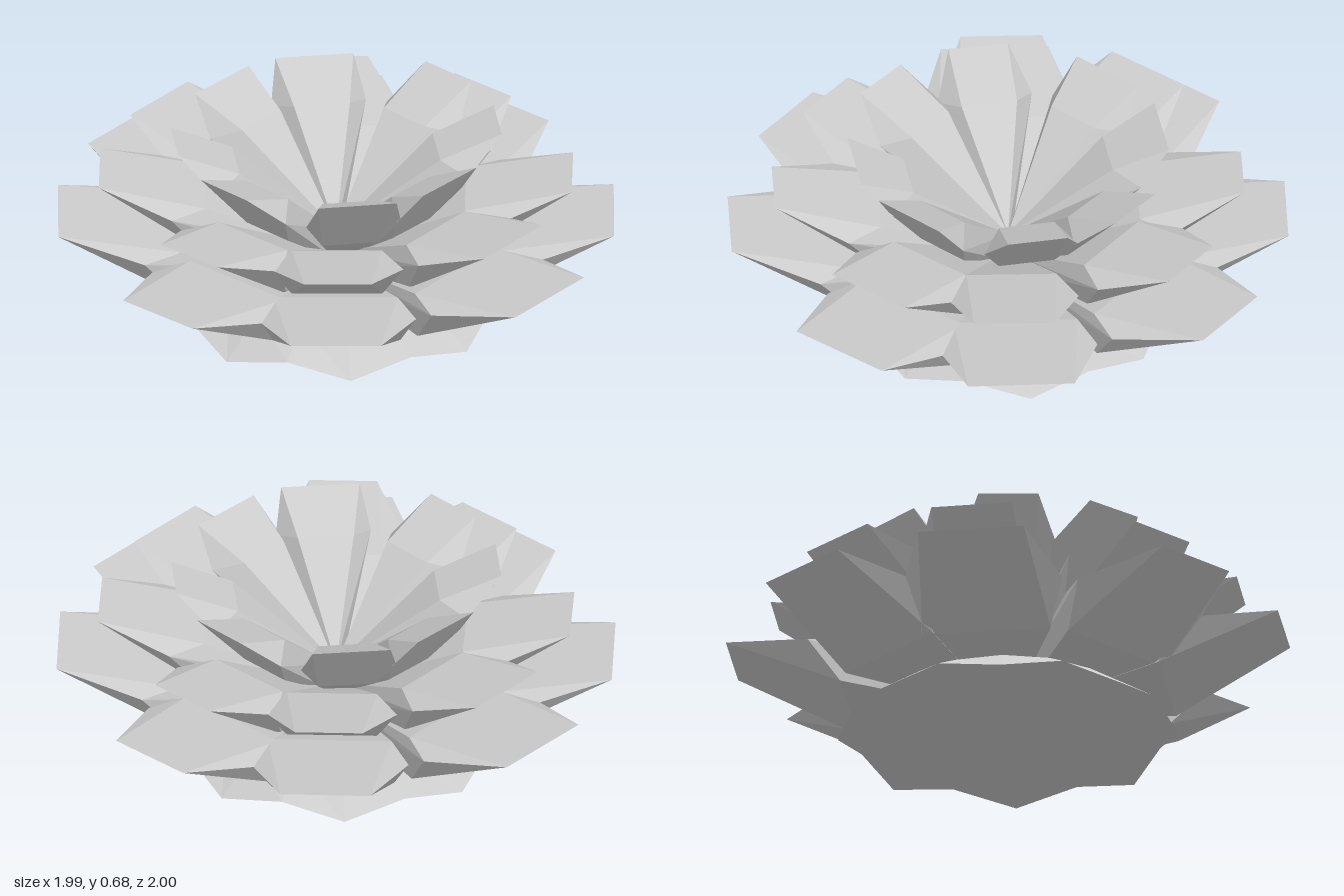
import * as THREE from 'three';

const material = new THREE.MeshStandardMaterial({ color: 0xcccccc, flatShading: true, side: THREE.DoubleSide });

function facetMesh(name, points, faces) {
  const geometry = new THREE.BufferGeometry();
  geometry.setAttribute('position', new THREE.Float32BufferAttribute(points.flat(), 3));
  geometry.setIndex(faces.flat());
  const flat = geometry.toNonIndexed();
  flat.computeVertexNormals();
  const mesh = new THREE.Mesh(flat, material);
  mesh.name = name;
  return mesh;
}

// Faces of one petal; the -x side is mirrored to +x.
const middleFaces = [
  [0, 2, 1], [1, 2, 9], [1, 9, 8], // underside
  [3, 4, 5], [4, 8, 9], [4, 9, 5], // upper side
];
const sideFaces = [[0, 1, 6], [1, 8, 6], [4, 6, 8], [3, 6, 4], [0, 6, 3]];
const mirrorIndex = { 0: 0, 1: 2, 3: 3, 4: 5, 6: 7, 8: 9 };
const petalFaces = [
  ...middleFaces,
  ...sideFaces,
  ...sideFaces.map(([a, b, c]) => [mirrorIndex[a], mirrorIndex[c], mirrorIndex[b]]),
];

// Thick petal along +z, tapering to a straight tip edge.
// lowFold, highFold, shoulder and tip are [half width, height, distance from the centre].
function petal(name, { lowRoot, lowFold, highRoot, highFold, shoulder }, tip) {
  const pair = ([w, y, z]) => [[-w, y, z], [w, y, z]];
  const points = [
    [0, lowRoot, 0], ...pair(lowFold),
    [0, highRoot, 0], ...pair(highFold),
    ...pair(shoulder), ...pair(tip),
  ];
  return facetMesh(name, points, petalFaces);
}

// Ring of eight petals: four directions, each repeated on the opposite side.
// Each direction is [angle in degrees, tip half width, tip distance].
function petalRing(name, shape, tipHeight, directions) {
  const ring = new THREE.Group();
  ring.name = name + 'Ring';
  for (const [angle, width, reach] of directions) {
    for (const turn of [0, 180]) {
      const p = petal(name, shape, [width, tipHeight, reach]);
      p.rotation.y = THREE.MathUtils.degToRad(angle + turn);
      ring.add(p);
    }
  }
  return ring;
}

// Shallow faceted base: fan underneath, zigzag rim, sloping skirt on top.
function base() {
  const n = 16;
  const points = [[0, 0.04, 0], [0, 0.12, 0]];
  const faces = [];
  for (let i = 0; i < n; i++) {
    const a = (i / n) * Math.PI * 2;
    const low = i % 2 === 0;
    const r = low ? 0.605 : 0.575;
    points.push([r * Math.sin(a), low ? 0 : 0.045, r * Math.cos(a)]);
    points.push([0.43 * Math.sin(a), 0.12, 0.43 * Math.cos(a)]);
    const rim = 2 + 2 * i, top = rim + 1;
    const nextRim = 2 + 2 * ((i + 1) % n), nextTop = nextRim + 1;
    faces.push([0, nextRim, rim], [rim, nextRim, top], [nextRim, nextTop, top], [1, top, nextTop]);
  }
  const mesh = facetMesh('base', points, faces);
  mesh.rotation.y = THREE.MathUtils.degToRad(2.6);
  return mesh;
}

export function createModel() {
  const flower = new THREE.Group();
  flower.name = 'flower';
  flower.add(base());
  flower.add(petalRing('outerPetal', {
    lowRoot: 0.09, lowFold: [0.23, 0.15, 0.57],
    highRoot: 0.15, highFold: [0.22, 0.31, 0.55],
    shoulder: [0.285, 0.295, 0.68],
  }, 0.358, [[2.6, 0.19, 0.99], [42.7, 0.19, 0.987], [92.8, 0.16, 0.99], [132.5, 0.16, 0.99]]));
  flower.add(petalRing('middlePetal', {
    lowRoot: 0.13, lowFold: [0.16, 0.28, 0.47],
    highRoot: 0.2, highFold: [0.16, 0.45, 0.46],
    shoulder: [0.235, 0.44, 0.58],
  }, 0.522, [[2.6, 0.16, 0.82], [41.5, 0.145, 0.84], [92.7, 0.13, 0.815], [133, 0.12, 0.835]]));
  flower.add(petalRing('innerPetal', {
    lowRoot: 0.16, lowFold: [0.1, 0.42, 0.36],
    highRoot: 0.28, highFold: [0.1, 0.59, 0.36],
    shoulder: [0.17, 0.55, 0.45],
  }, 0.682, [[0, 0.14, 0.55], [50.5, 0.107, 0.58], [90, 0.11, 0.59], [140.5, 0.14, 0.555]]));
  return flower;
}
